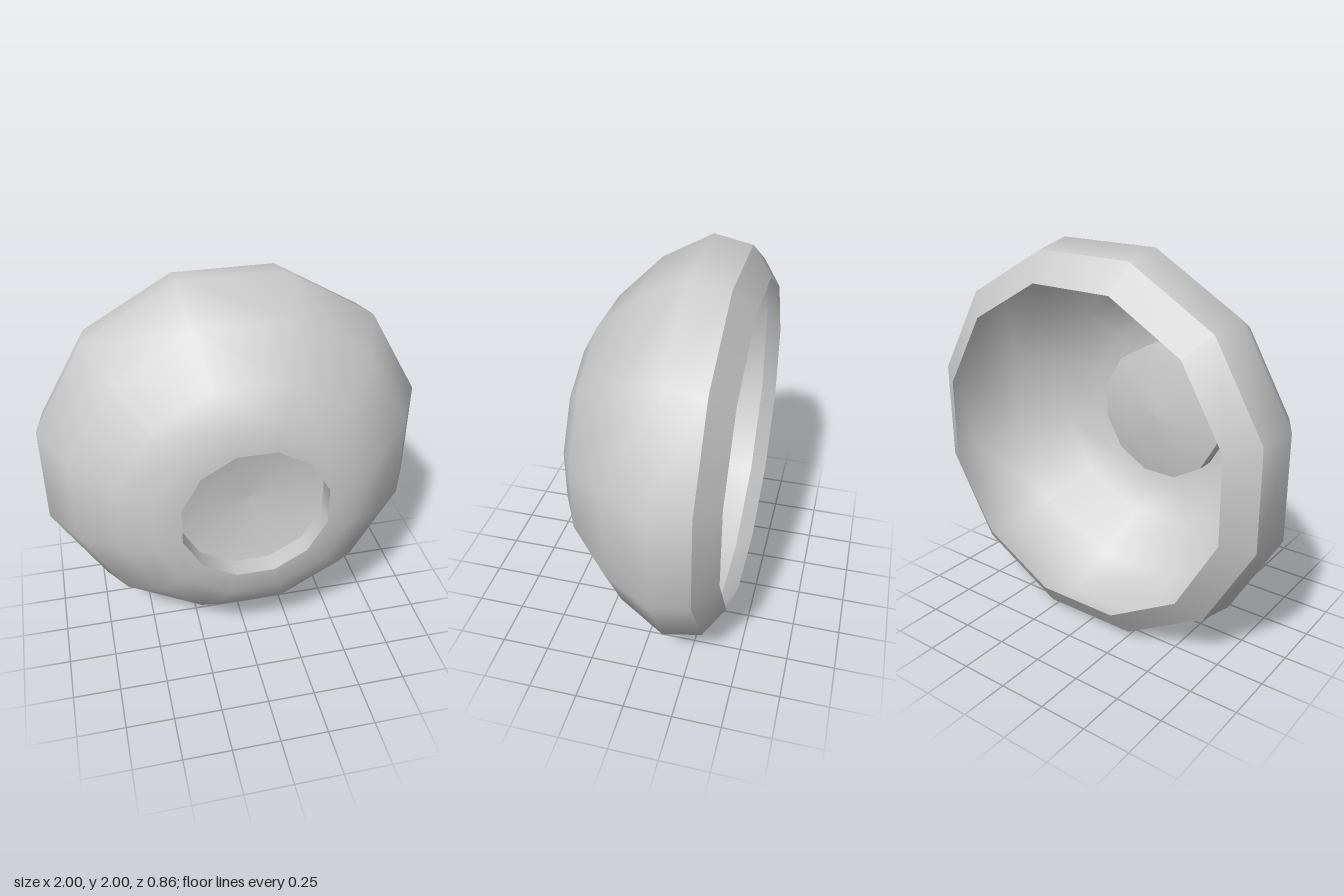
import * as THREE from 'three';

const SIDES = 12;
const CORNER = 1 / Math.cos(Math.PI / SIDES); // flat-to-flat radius -> corner radius

const material = new THREE.MeshStandardMaterial({ color: 0xcccccc, side: THREE.DoubleSide });

// Twelve-sided turned surface around the z axis; profile is [radius to flat, z]
function turned(name, profile) {
  const points = profile.map(([r, z]) => new THREE.Vector2(r * CORNER, z));
  const geometry = new THREE.LatheGeometry(points, SIDES, Math.PI / SIDES);
  geometry.rotateX(Math.PI / 2);
  const mesh = new THREE.Mesh(geometry, material);
  mesh.name = name;
  return mesh;
}

export function createModel() {
  const group = new THREE.Group();
  group.name = 'bowl';

  // Separate surfaces keep the creases between them sharp
  group.add(
    // bevelled band around the open back
    turned('backRim', [[0.825, -0.43], [0.965, -0.33]]),
    // thin rounded shell
    turned('shell', [
      [0.965, -0.33], [1, -0.135], [0.87, 0.11],
      [0.66, 0.325], [0.495, 0.415], [0.367, 0.43],
    ]),
    // short wall of the recess in the front
    turned('recessWall', [[0.367, 0.43], [0.367, 0.325]]),
    // shallow dished floor of the recess
    turned('recessFloor', [[0.367, 0.325], [0.2, 0.285], [0, 0.27]]),
  );

  group.position.y = 1;
  return group;
}
